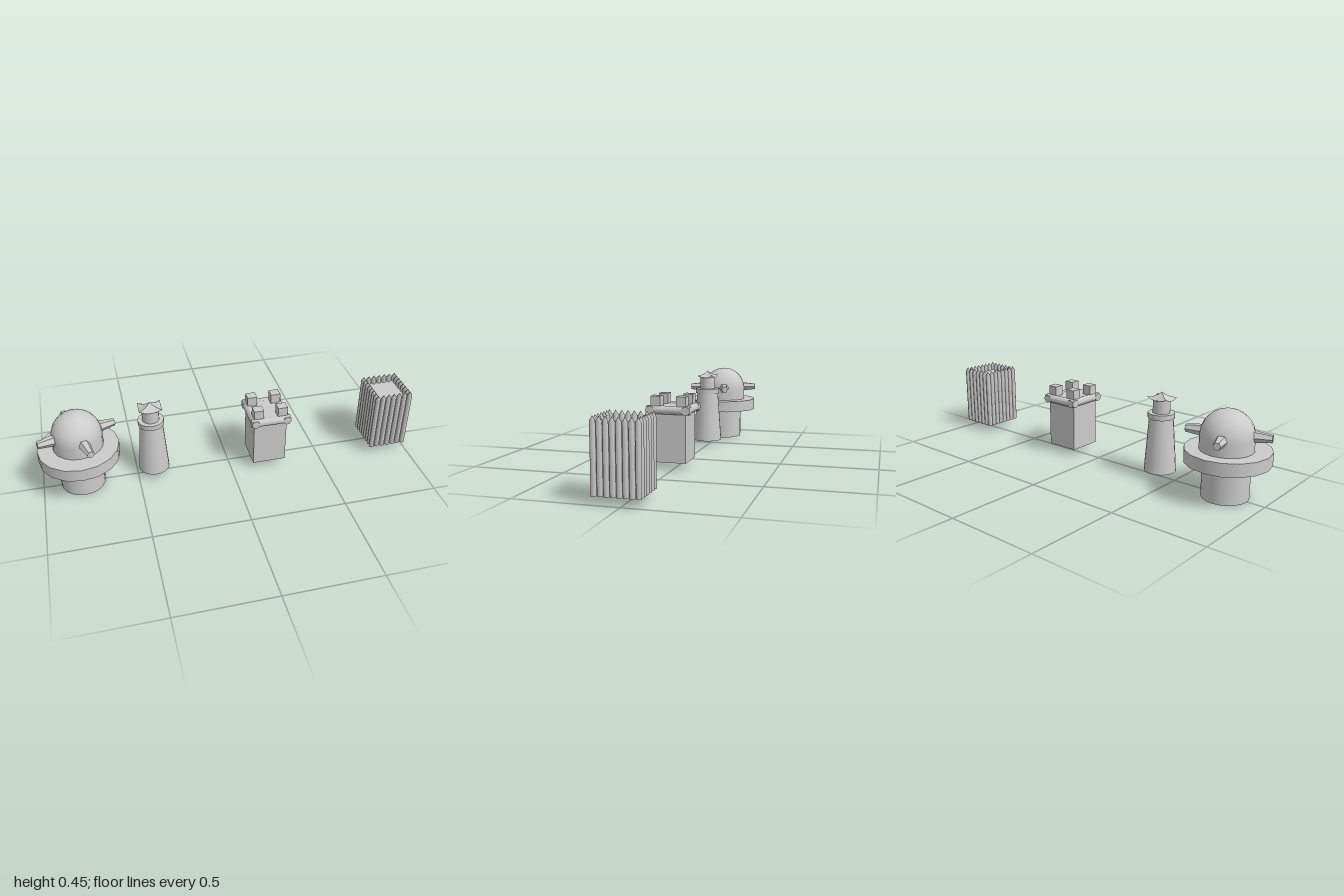
import * as THREE from 'three';

const grey = new THREE.MeshStandardMaterial({ color: 0xcccccc });
const flat = new THREE.MeshStandardMaterial({ color: 0xcccccc, flatShading: true });
const thin = new THREE.MeshStandardMaterial({ color: 0xcccccc, flatShading: true, side: THREE.DoubleSide });

function add(parent, name, geometry, x, y, z, material = grey) {
  const mesh = new THREE.Mesh(geometry, material);
  mesh.name = name;
  mesh.position.set(x, y, z);
  parent.add(mesh);
  return mesh;
}

// Upright cylinder given by its bottom and top heights
function column(parent, name, rTop, rBottom, y0, y1, sides, x = 0, z = 0) {
  return add(parent, name, new THREE.CylinderGeometry(rTop, rBottom, y1 - y0, sides), x, (y0 + y1) / 2, z);
}

function block(parent, name, w, d, y0, y1, x = 0, z = 0) {
  return add(parent, name, new THREE.BoxGeometry(w, y1 - y0, d), x, (y0 + y1) / 2, z);
}

function tower(root, name, x, z) {
  const group = new THREE.Group();
  group.name = name;
  group.position.set(x, 0, z);
  root.add(group);
  return group;
}

// Domed gun tower: stem, wide deck, dome and four tapered barrels
function domeTower(root) {
  const t = tower(root, 'domeTower', -0.792, 0);
  column(t, 'stem', 0.116, 0.116, 0, 0.175, 20, 0, -0.005);
  column(t, 'deck', 0.209, 0.209, 0.175, 0.24, 16);
  const profile = [new THREE.Vector2(0.13, 0.24)];
  for (let i = 0; i <= 8; i++) {
    const a = (i / 8) * Math.PI / 2;
    profile.push(new THREE.Vector2(0.13 * Math.cos(a), 0.305 + 0.13 * Math.sin(a)));
  }
  add(t, 'dome', new THREE.LatheGeometry(profile, 20), 0, 0, -0.013);
  for (let i = 0; i < 4; i++) {
    const pivot = new THREE.Group();
    pivot.name = 'barrelPivot';
    pivot.position.set(0, 0.315, -0.006);
    pivot.rotation.y = 0.28 + i * Math.PI / 2;
    t.add(pivot);
    const barrel = add(pivot, 'barrel', new THREE.CylinderGeometry(0.019, 0.033, 0.11, 6), 0.15, 0, 0, flat);
    barrel.rotation.z = -Math.PI / 2;
  }
}

// Pyramid roof whose four corners sweep upward
function roofGeometry() {
  const pos = [], index = [], rings = 5, per = 16;
  for (let r = 0; r <= rings; r++) {
    const s = r / rings;
    for (let i = 0; i < per; i++) {
      const side = Math.floor(i / 4), u = (i % 4) / 2 - 1;
      const [x, z] = [[u, 1], [1, -u], [-u, -1], [-1, u]][side];
      const lift = 0.014 * u * u * s ** 3;
      pos.push(x * 0.059 * s, 0.447 - 0.04 * s ** 0.8 + lift, z * 0.046 * s);
      if (r < rings) {
        const a = r * per + i, b = r * per + (i + 1) % per;
        if (r > 0) index.push(a, b + per, b);
        index.push(a, a + per, b + per);
      }
    }
  }
  const g = new THREE.BufferGeometry();
  g.setAttribute('position', new THREE.Float32BufferAttribute(pos, 3));
  g.setIndex(index);
  g.computeVertexNormals();
  return g;
}

// Slim watchtower: tapered shaft, collar, lantern room and roof
function watchTower(root) {
  const t = tower(root, 'watchTower', -0.41, -0.002);
  column(t, 'shaft', 0.061, 0.082, 0.037, 0.317, 20);
  column(t, 'collar', 0.068, 0.068, 0.315, 0.342, 20);
  column(t, 'lanternRoom', 0.044, 0.044, 0.34, 0.41, 16);
  add(t, 'roof', roofGeometry(), 0, 0, 0, thin);
}

// Square keep: block body, rounded rim beams and four corner merlons
function keep(root) {
  const t = tower(root, 'keep', 0.206, 0.019);
  block(t, 'body', 0.178, 0.18, 0.037, 0.32);
  for (const s of [-1, 1]) {
    const beamX = add(t, 'rimBeam', new THREE.CylinderGeometry(0.022, 0.022, 0.212, 10), 0, 0.303, s * 0.093);
    beamX.rotation.z = Math.PI / 2;
    const beamZ = add(t, 'rimBeam', new THREE.CylinderGeometry(0.022, 0.022, 0.226, 10), s * 0.085, 0.303, 0);
    beamZ.rotation.x = Math.PI / 2;
    for (const u of [-1, 1]) block(t, 'merlon', 0.052, 0.05, 0.318, 0.373, s * 0.065, u * 0.066);
  }
}

// Palisade tower: core block ringed by pointed stakes
function palisade(root) {
  const t = tower(root, 'palisade', 0.894, 0.022);
  const hx = 0.092, hz = 0.099, nx = 7, nz = 8;
  block(t, 'core', hx * 2, hz * 2, 0.037, 0.325);
  const stakeProfile = [[0, 0.037], [0.0135, 0.037], [0.0135, 0.35], [0, 0.372]]
    .map(([r, y]) => new THREE.Vector2(r, y));
  const stake = new THREE.LatheGeometry(stakeProfile, 8);
  for (let i = 0; i < nx; i++) {
    for (let j = 0; j < nz; j++) {
      const edge = i === 0 || i === nx - 1 || j === 0 || j === nz - 1;
      if (edge) add(t, 'stake', stake, -hx + 2 * hx * i / (nx - 1), 0, -hz + 2 * hz * j / (nz - 1));
    }
  }
}

export function createModel() {
  const root = new THREE.Group();
  root.name = 'towerSet';
  domeTower(root);
  watchTower(root);
  keep(root);
  palisade(root);
  return root;
}
